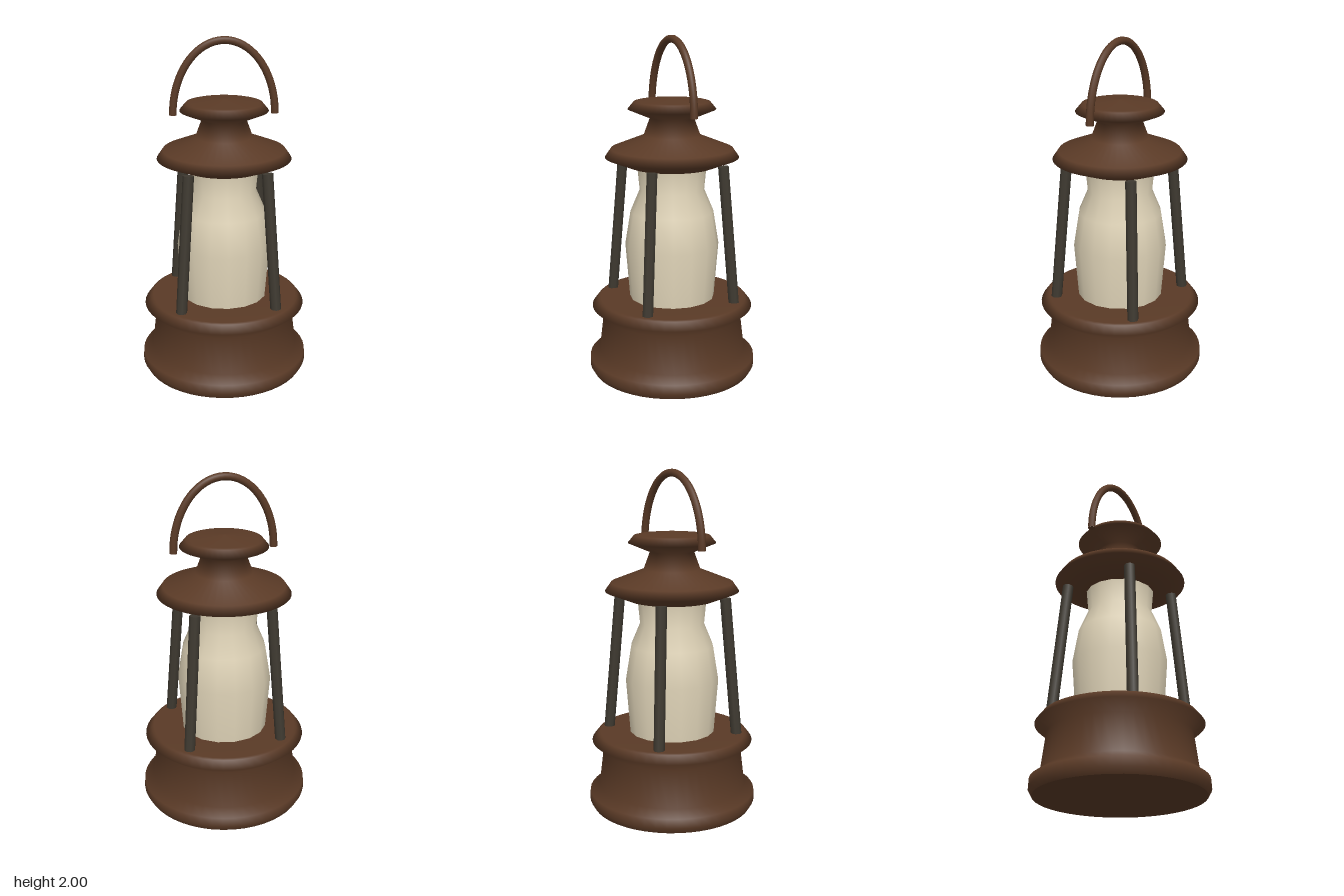
import * as THREE from 'three';

const brown = new THREE.MeshStandardMaterial({ color: 0x5a3a26 });
brown.name = 'brownMetal';
const dark = new THREE.MeshStandardMaterial({ color: 0x3f3a31 });
dark.name = 'darkPost';
const cream = new THREE.MeshStandardMaterial({ color: 0xe0d4b8 });
cream.name = 'frostedGlass';

// A repeated profile point makes a sharp edge.
function lathe(name, profile, segments, material) {
  const points = profile.map(([r, y]) => new THREE.Vector2(r, y));
  const mesh = new THREE.Mesh(new THREE.LatheGeometry(points, segments), material);
  mesh.name = name;
  return mesh;
}

// Straight rod between two points
function rod(name, a, b, radius, sides, material) {
  const dir = b.clone().sub(a);
  const mesh = new THREE.Mesh(new THREE.CylinderGeometry(radius, radius, dir.length(), sides), material);
  mesh.position.copy(a).add(b).multiplyScalar(0.5);
  mesh.quaternion.setFromUnitVectors(new THREE.Vector3(0, 1, 0), dir.normalize());
  mesh.name = name;
  return mesh;
}

export function createModel() {
  const lantern = new THREE.Group();
  lantern.name = 'lantern';

  // Waisted base with a flat top plate
  lantern.add(lathe('base', [
    [0, 0], [0.48, 0], [0.48, 0], [0.5, 0.035], [0.497, 0.09], [0.44, 0.13],
    [0.413, 0.35], [0.48, 0.405], [0.445, 0.45], [0.43, 0.456], [0, 0.456],
  ], 48, brown));

  // Glass chimney
  lantern.add(lathe('glassChimney', [
    [0.252, 0.44], [0.278, 0.78], [0.245, 0.98], [0.19, 1.11], [0.203, 1.25],
  ], 16, cream));

  // Roof, neck and small top cap
  lantern.add(lathe('roof', [
    [0, 1.24], [0.2, 1.24], [0.25, 1.25], [0.39, 1.305], [0.355, 1.355], [0.165, 1.43],
    [0.128, 1.53], [0.255, 1.583], [0.22, 1.625], [0.2, 1.63], [0, 1.65],
  ], 48, brown));

  // Four leaning posts
  for (const sx of [-1, 1]) {
    for (const sz of [-1, 1]) {
      lantern.add(rod('post',
        new THREE.Vector3(sx * 0.276, 0.44, sz * 0.276),
        new THREE.Vector3(sx * 0.222, 1.265, sz * 0.222), 0.032, 8, dark));
    }
  }

  // Arched carrying handle with closed ends
  const handle = new THREE.Group();
  handle.name = 'handle';
  const path = [];
  for (let i = 0; i <= 24; i++) {
    const a = Math.PI * (1 - i / 24);
    path.push(new THREE.Vector3(0.292 * Math.cos(a), 1.56 + 0.418 * Math.sin(a), 0));
  }
  const bow = new THREE.Mesh(
    new THREE.TubeGeometry(new THREE.CatmullRomCurve3(path), 40, 0.022, 10), brown);
  bow.name = 'handleBow';
  handle.add(bow);
  for (const s of [-1, 1]) {
    const end = new THREE.Mesh(new THREE.CircleGeometry(0.022, 10), brown);
    end.rotation.x = Math.PI / 2;
    end.position.set(s * 0.292, 1.56, 0);
    end.name = 'handleEnd';
    handle.add(end);
  }
  lantern.add(handle);

  return lantern;
}
